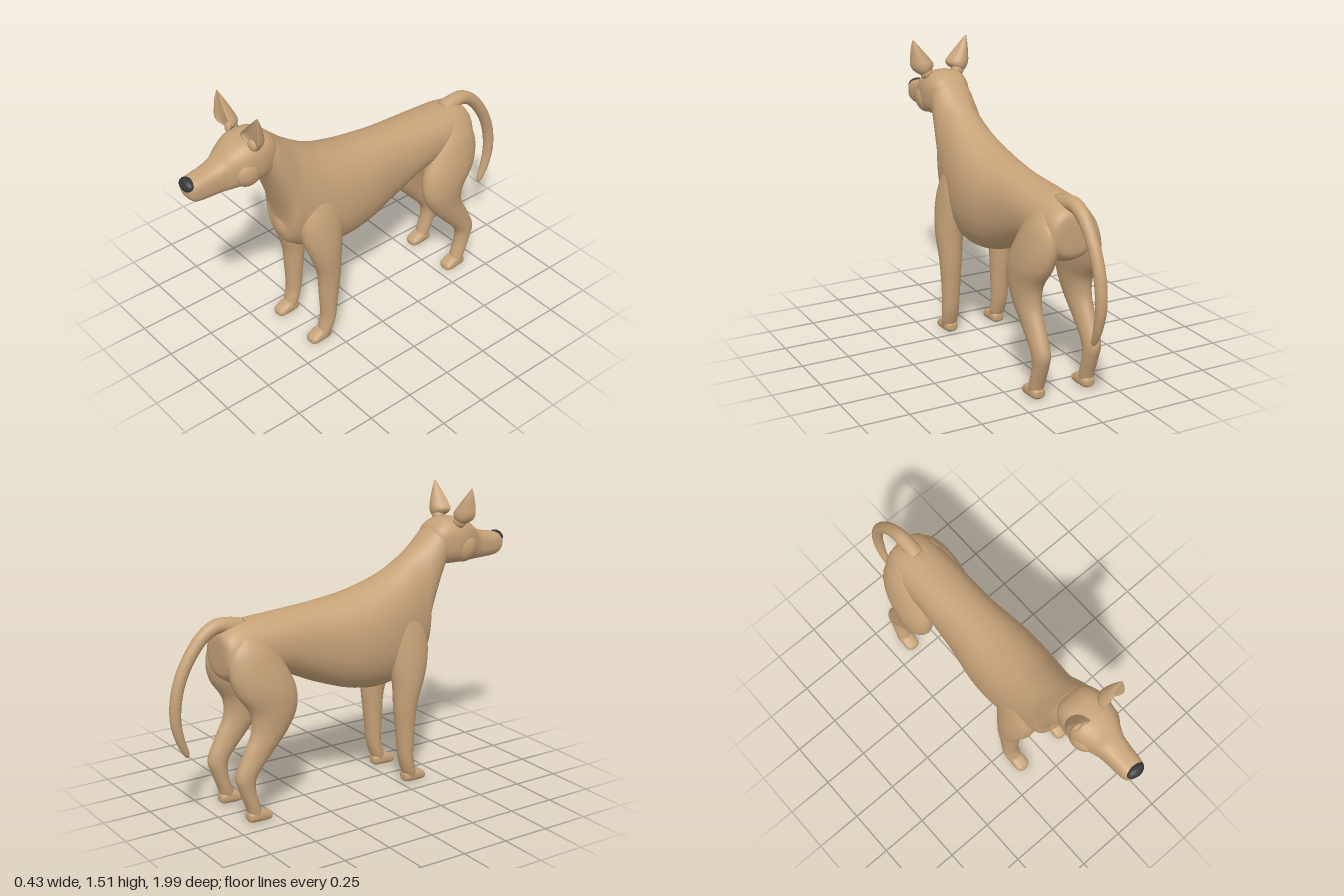
import * as THREE from 'three';

const coat = new THREE.MeshStandardMaterial({ color: 0xc6a278 });
coat.name = 'tan coat';
const dark = new THREE.MeshStandardMaterial({ color: 0x38373a });
dark.name = 'dark nose';

// Catmull-Rom interpolation of whole rows of numbers
function smoothRows(rows, steps) {
  const out = [];
  const at = i => rows[Math.max(0, Math.min(rows.length - 1, i))];
  for (let i = 0; i < rows.length - 1; i++) {
    for (let k = 0; k < steps; k++) {
      const t = k / steps, a = at(i - 1), b = at(i), c = at(i + 1), d = at(i + 2);
      out.push(b.map((_, j) => 0.5 * (2 * b[j] + (c[j] - a[j]) * t
        + (2 * a[j] - 5 * b[j] + 4 * c[j] - d[j]) * t * t
        + (3 * b[j] - a[j] - 3 * c[j] + d[j]) * t * t * t)));
    }
  }
  out.push(rows[rows.length - 1]);
  return out;
}

// Closed skin over rings. Row: [x, y, z, halfWidth, vy, vz], where (0, vy, vz) is the other half axis.
// power > 2 squares the ring; hollow folds the second half of the ring inward.
function loft(rows, { power = 2, hollow = 0, steps = 5, n = 32 } = {}) {
  const rings = smoothRows(rows, steps), pos = [], idx = [];
  const bend = v => Math.sign(v) * Math.abs(v) ** (2 / power);
  for (const [x, y, z, w, vy, vz] of rings) {
    for (let j = 0; j < n; j++) {
      const a = j / n * Math.PI * 2, c = bend(Math.cos(a));
      let s = bend(Math.sin(a));
      if (hollow && s < 0) s *= -hollow;
      pos.push(x + w * c, y + vy * s, z + vz * s);
    }
  }
  for (let i = 0; i < rings.length - 1; i++) {
    for (let j = 0; j < n; j++) {
      const a = i * n + j, b = i * n + (j + 1) % n;
      idx.push(a, b, a + n, b, b + n, a + n);
    }
  }
  const last = (rings.length - 1) * n, e0 = pos.length / 3;
  pos.push(...rings[0].slice(0, 3), ...rings[rings.length - 1].slice(0, 3));
  for (let j = 0; j < n; j++) {
    const k = (j + 1) % n;
    idx.push(e0, k, j, e0 + 1, last + j, last + k);
  }
  // turn the faces outward if the enclosed volume is negative
  const p = i => new THREE.Vector3().fromArray(pos, i * 3);
  let volume = 0;
  for (let i = 0; i < idx.length; i += 3) volume += p(idx[i]).dot(p(idx[i + 1]).cross(p(idx[i + 2])));
  if (volume < 0) idx.reverse();
  const g = new THREE.BufferGeometry();
  g.setAttribute('position', new THREE.Float32BufferAttribute(pos, 3));
  g.setIndex(idx);
  g.computeVertexNormals();
  return g;
}

// Ring given by its upper and lower points in the middle plane
const span = ([zt, yt, zb, yb, w]) => [0, (yt + yb) / 2, (zt + zb) / 2, w, (yt - yb) / 2, (zt - zb) / 2];
// Level ring given by height, z range and x range, on side s
const level = s => ([y, z0, z1, x0, x1]) => [s * (x0 + x1) / 2, y, (z0 + z1) / 2, (x1 - x0) / 2, 0, (z1 - z0) / 2];

export function createModel() {
  const model = new THREE.Group();
  model.name = 'dog';
  const add = (name, geometry, material = coat) => {
    const m = new THREE.Mesh(geometry, material);
    m.name = name;
    model.add(m);
    return m;
  };
  const ball = (name, x, y, z, rx, ry, rz, material) => {
    const m = add(name, new THREE.SphereGeometry(1, 28, 20), material);
    m.position.set(x, y, z);
    m.scale.set(rx, ry, rz);
    return m;
  };

  // Torso and neck: zTop, yTop, zBottom, yBottom, half width
  add('torsoAndNeck', loft([
    [-0.735, 0.90, -0.735, 0.78, 0.06],
    [-0.72, 0.95, -0.72, 0.72, 0.115],
    [-0.64, 0.985, -0.62, 0.68, 0.14],
    [-0.45, 0.998, -0.42, 0.70, 0.145],
    [-0.20, 1.015, -0.20, 0.61, 0.155],
    [0.00, 1.037, 0.00, 0.54, 0.182],
    [0.14, 1.07, 0.16, 0.518, 0.184],
    [0.26, 1.115, 0.30, 0.54, 0.168],
    [0.35, 1.17, 0.415, 0.60, 0.148],
    [0.40, 1.205, 0.465, 0.66, 0.138],
    [0.44, 1.235, 0.468, 0.78, 0.132],
    [0.48, 1.27, 0.515, 0.94, 0.124],
    [0.52, 1.305, 0.57, 1.08, 0.114],
    [0.57, 1.33, 0.62, 1.14, 0.10]
  ].map(span), { power: 2.2, n: 40 }));
  ball('breast', 0, 0.715, 0.405, 0.105, 0.095, 0.072);

  // Head and muzzle
  add('head', loft([
    [0.505, 1.28, 0.52, 1.16, 0.07],
    [0.53, 1.318, 0.55, 1.13, 0.10],
    [0.58, 1.345, 0.59, 1.112, 0.117],
    [0.64, 1.348, 0.64, 1.108, 0.124],
    [0.70, 1.34, 0.70, 1.108, 0.118],
    [0.76, 1.31, 0.76, 1.106, 0.095],
    [0.81, 1.27, 0.81, 1.106, 0.074],
    [0.87, 1.248, 0.87, 1.107, 0.066],
    [0.94, 1.235, 0.94, 1.112, 0.061],
    [0.975, 1.222, 0.972, 1.13, 0.052],
    [0.988, 1.20, 0.985, 1.15, 0.032]
  ].map(span), { power: 2.7 }));
  ball('nose', 0, 1.203, 0.968, 0.05, 0.034, 0.032, dark);

  // Tail: z, y, radius, with rings square to its path
  const tail = [[-0.60, 0.955, 0.045], [-0.67, 0.972, 0.042], [-0.74, 0.975, 0.037], [-0.82, 0.925, 0.033],
    [-0.90, 0.815, 0.031], [-0.95, 0.69, 0.03], [-0.965, 0.56, 0.028], [-0.945, 0.45, 0.023],
    [-0.915, 0.375, 0.016], [-0.905, 0.352, 0.006]];
  add('tail', loft(tail.map(([z, y, r], i) => {
    const a = tail[Math.max(0, i - 1)], b = tail[Math.min(tail.length - 1, i + 1)];
    const dz = b[0] - a[0], dy = b[1] - a[1], l = Math.hypot(dz, dy);
    return [0, y, z, r, -dz / l * r, dy / l * r];
  }), { n: 20 }));

  for (const [side, s] of [['left', 1], ['right', -1]]) {
    ball(side + 'Cheek', s * 0.075, 1.195, 0.69, 0.056, 0.078, 0.075);

    // Ears: cupped leaves open to the front, on short stems
    ball(side + 'EarStem', s * 0.09, 1.335, 0.65, 0.034, 0.035, 0.032);
    add(side + 'Ear', loft([
      [s * 0.108, 1.328, 0.665, 0.018, 0, -0.03],
      [s * 0.105, 1.35, 0.685, 0.048, 0, -0.066],
      [s * 0.103, 1.38, 0.692, 0.064, 0, -0.076],
      [s * 0.118, 1.42, 0.69, 0.049, 0, -0.06],
      [s * 0.137, 1.465, 0.685, 0.028, 0, -0.036],
      [s * 0.155, 1.513, 0.676, 0.003, 0, -0.004]
    ], { hollow: 0.35 }));

    // Legs: y, z back, z front, x inner, x outer
    add(side + 'FrontLeg', loft([
      [0.95, 0.24, 0.33, 0.07, 0.13],
      [0.87, 0.19, 0.38, 0.05, 0.165],
      [0.77, 0.17, 0.42, 0.045, 0.19],
      [0.66, 0.185, 0.415, 0.05, 0.208],
      [0.55, 0.205, 0.38, 0.075, 0.214],
      [0.42, 0.213, 0.338, 0.088, 0.206],
      [0.28, 0.228, 0.328, 0.095, 0.196],
      [0.15, 0.243, 0.322, 0.10, 0.192],
      [0.08, 0.262, 0.335, 0.10, 0.188],
      [0.045, 0.275, 0.345, 0.103, 0.182],
      [0.012, 0.28, 0.34, 0.11, 0.172]
    ].map(level(s))));
    add(side + 'HindLeg', loft([
      [0.93, -0.66, -0.54, 0.06, 0.12],
      [0.86, -0.715, -0.48, 0.04, 0.165],
      [0.76, -0.73, -0.42, 0.035, 0.195],
      [0.66, -0.702, -0.378, 0.045, 0.21],
      [0.56, -0.635, -0.378, 0.065, 0.208],
      [0.46, -0.628, -0.425, 0.08, 0.198],
      [0.36, -0.675, -0.51, 0.09, 0.19],
      [0.25, -0.722, -0.605, 0.095, 0.185],
      [0.17, -0.703, -0.618, 0.098, 0.18],
      [0.09, -0.672, -0.598, 0.10, 0.18],
      [0.045, -0.658, -0.585, 0.103, 0.178],
      [0.012, -0.645, -0.585, 0.11, 0.17]
    ].map(level(s))));

    // Paws: z from heel, top y, bottom y, half width
    for (const [name, z] of [['FrontPaw', 0.27], ['HindPaw', -0.665]]) {
      add(side + name, loft([
        [0, 0.045, 0.015, 0.018], [0.015, 0.06, 0.003, 0.034], [0.06, 0.07, 0, 0.039],
        [0.10, 0.055, 0, 0.039], [0.122, 0.043, 0.003, 0.033], [0.132, 0.032, 0.01, 0.018]
      ].map(([d, t, b, w]) => [s * 0.14, (t + b) / 2, z + d, w, (t - b) / 2, 0]), { power: 2.6, n: 24 }));
    }
  }
  return model;
}
